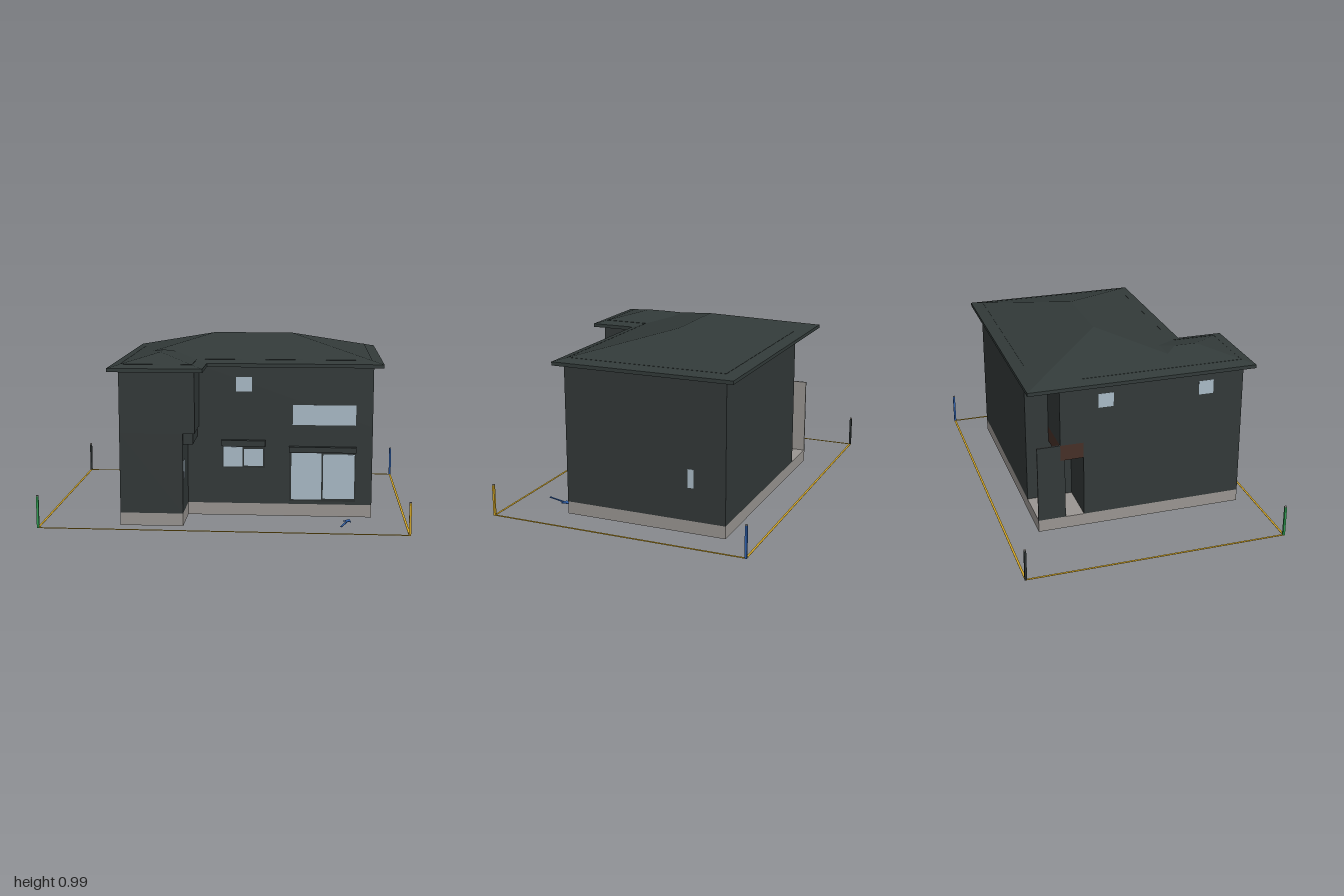
import * as THREE from 'three';

const mat = (name, color) => {
  const m = new THREE.MeshStandardMaterial({ color });
  m.name = name;
  return m;
};

export function createModel() {
  const wall = mat('wall slate', 0x323838);
  const roof = mat('roof slate', 0x323a39);
  const stone = mat('foundation grey', 0x999591);
  const glass = mat('window glass', 0xa9bac6);
  const frame = mat('window frame', 0x2a3030);
  const brown = mat('timber brown', 0x452f27);
  const yellow = mat('boundary yellow', 0xd2a626);
  const green = mat('marker green', 0x2f9a50);
  const blue = mat('marker blue', 0x2f62b0);

  const model = new THREE.Group();
  const add = (name, geometry, material) => {
    const mesh = new THREE.Mesh(geometry, material);
    mesh.name = name;
    model.add(mesh);
    return mesh;
  };
  // Box given by its limits on each axis
  const box = (name, material, x0, x1, y0, y1, z0, z1) => {
    const g = new THREE.BoxGeometry(x1 - x0, y1 - y0, z1 - z0);
    g.translate((x0 + x1) / 2, (y0 + y1) / 2, (z0 + z1) / 2);
    return add(name, g, material);
  };
  // Floor plan of [x, z] corners raised from y0 to y1, with an optional hole
  const plan = (name, material, points, y0, y1, hole) => {
    const toVec = (list) => list.map(([x, z]) => new THREE.Vector2(x, -z));
    const shape = new THREE.Shape(toVec(points).reverse());
    if (hole) shape.holes.push(new THREE.Path(toVec(hole)));
    const g = new THREE.ExtrudeGeometry(shape, { depth: y1 - y0, bevelEnabled: false });
    g.rotateX(-Math.PI / 2).translate(0, y0, 0);
    return add(name, g, material);
  };
  // Hipped roof with equal pitch on all four sides
  const PITCH = 0.244;
  const hip = (name, x0, x1, z0, z1, y) => {
    const alongX = x1 - x0 > z1 - z0;
    const half = Math.min(x1 - x0, z1 - z0) / 2;
    const top = y + half * PITCH;
    const a = [x0, y, z0], b = [x1, y, z0], c = [x1, y, z1], d = [x0, y, z1];
    const r0 = [x0 + half, top, z0 + half];
    const r1 = [x1 - half, top, z1 - half];
    const faces = alongX
      ? [d, c, r1, d, r1, r0, c, b, r1, b, a, r0, b, r0, r1, a, d, r0]
      : [d, c, r1, c, b, r0, c, r0, r1, b, a, r0, a, d, r1, a, r1, r0];
    const g = new THREE.BufferGeometry();
    g.setAttribute('position', new THREE.Float32BufferAttribute(faces.flat(), 3));
    g.computeVertexNormals();
    return add(name, g, roof);
  };

  // Foundation ring, hollow underneath, with a solid porch floor
  const inner = [[0.782, -0.522], [0.782, 0.347], [-0.245, 0.347], [-0.245, 0.602], [-0.532, 0.602], [-0.532, -0.522]];
  plan('foundation', stone,
    [[0.81, -0.55], [0.81, 0.375], [-0.217, 0.375], [-0.217, 0.63], [-0.56, 0.63], [-0.56, -0.55]],
    0, 0.07, inner);
  plan('floorUnderside', brown, inner, 0.06, 0.067);
  box('porchFloor', stone, -0.555, -0.247, 0.005, 0.07, -0.545, -0.19);

  // Walls: the ground floor has a deep porch, the upper floor a shallow one
  plan('lowerWalls', wall,
    [[0.81, -0.55], [0.81, 0.375], [-0.217, 0.375], [-0.217, 0.63], [-0.56, 0.63], [-0.56, -0.29], [-0.307, -0.29], [-0.307, -0.55]],
    0.07, 0.51);
  plan('upperWalls', wall,
    [[0.81, -0.55], [0.81, 0.375], [-0.153, 0.375], [-0.153, 0.63], [-0.56, 0.63], [-0.56, -0.42], [-0.307, -0.42], [-0.307, -0.55]],
    0.51, 0.85);
  box('wingLedge', wall, -0.25, -0.163, 0.45, 0.51, 0.37, 0.62);

  // Porch with a thin screen at the corner
  box('porchLintel', brown, -0.56, -0.307, 0.42, 0.51, -0.42, -0.285);
  box('porchSoffit', brown, -0.56, -0.307, 0.838, 0.847, -0.55, -0.42);
  box('porchScreen', wall, -0.56, -0.555, 0.07, 0.51, -0.55, -0.395);
  box('porchScreenLining', stone, -0.555, -0.55, 0.07, 0.51, -0.55, -0.395);

  // Eaves and roofs
  box('mainEaves', roof, -0.615, 0.863, 0.845, 0.865, -0.605, 0.42);
  box('wingEaves', roof, -0.615, -0.105, 0.845, 0.865, 0.3, 0.68);
  hip('mainRoof', -0.615, 0.863, -0.605, 0.42, 0.865);
  hip('wingRoof', -0.615, -0.105, 0.045, 0.68, 0.865);

  // Low snow guards set in from the eaves
  const guards = [
    [-0.29, 0.8, -0.543, -0.54], [-0.165, 0.8, 0.355, 0.358], [0.797, 0.8, -0.54, 0.358],
    [-0.55, -0.165, 0.615, 0.618], [-0.168, -0.165, 0.358, 0.618], [-0.553, -0.55, -0.3, 0.618],
  ];
  for (const [x0, x1, z0, z1] of guards) box('snowGuard', roof, x0, x1, 0.872, 0.8815, z0, z1);

  // Front windows
  const F = 0.375;
  const frontPane = (x0, x1, y0, y1, z = F) => box('frontWindow', glass, x0, x1, y0, y1, z - 0.002, z + 0.001);
  frontPane(0.052, 0.14, 0.705, 0.785);
  frontPane(0.368, 0.717, 0.52, 0.632);
  box('middleWindowFrame', frame, -0.025, 0.215, 0.275, 0.4, F, F + 0.004);
  frontPane(-0.018, 0.09, 0.28, 0.393, F + 0.005);
  frontPane(0.098, 0.204, 0.286, 0.382, F + 0.005);
  box('middleShutterBox', wall, -0.027, 0.217, 0.4, 0.433, F, F + 0.03);
  box('patioDoorFrame', frame, 0.35, 0.72, 0.088, 0.37, F, F + 0.004);
  frontPane(0.362, 0.53, 0.098, 0.363, F + 0.005);
  frontPane(0.539, 0.713, 0.104, 0.357, F + 0.005);
  box('patioShutterBox', wall, 0.349, 0.722, 0.37, 0.4, F, F + 0.03);

  // Side windows
  const sidePane = (x, y0, y1, z0, z1) => box('sideWindow', glass, x - 0.001, x + 0.001, y0, y1, z0, z1);
  sidePane(0.81, 0.253, 0.355, -0.37, -0.337);
  sidePane(-0.217, 0.253, 0.355, 0.528, 0.596);
  sidePane(-0.56, 0.705, 0.785, -0.205, -0.12);
  sidePane(-0.56, 0.705, 0.785, 0.37, 0.455);

  // Plot boundary with a coloured, pale-capped marker at each corner
  const corners = [[-0.994, 0.721, green], [0.994, 0.731, yellow], [0.994, -0.731, blue], [-0.994, -0.731, frame]];
  corners.forEach(([x, z, material], i) => {
    box('cornerMarker', material, x - 0.006, x + 0.006, 0, 0.175, z - 0.006, z + 0.006);
    box('markerCap', stone, x - 0.006, x + 0.006, 0.175, 0.18, z - 0.006, z + 0.006);
    const [nx, nz] = corners[(i + 1) % 4];
    const length = Math.hypot(nx - x, nz - z);
    const line = add('boundaryLine', new THREE.BoxGeometry(length, 0.002, 0.012), yellow);
    line.position.set((x + nx) / 2, 0.001, (z + nz) / 2);
    line.rotation.y = -Math.atan2(nz - z, nx - x);
  });

  // Flat arrow on the ground
  const arrow = new THREE.Shape([
    [-0.005, 0], [0.005, 0], [0.005, 0.12], [0.023, 0.115], [0, 0.167], [-0.023, 0.115], [-0.005, 0.12],
  ].map(([x, y]) => new THREE.Vector2(x, y)));
  const arrowGeo = new THREE.ExtrudeGeometry(arrow, { depth: 0.004, bevelEnabled: false });
  arrowGeo.rotateX(-Math.PI / 2).rotateY(-0.31);
  add('groundArrow', arrowGeo, blue).position.set(0.637, 0, 0.592);

  return model;
}
